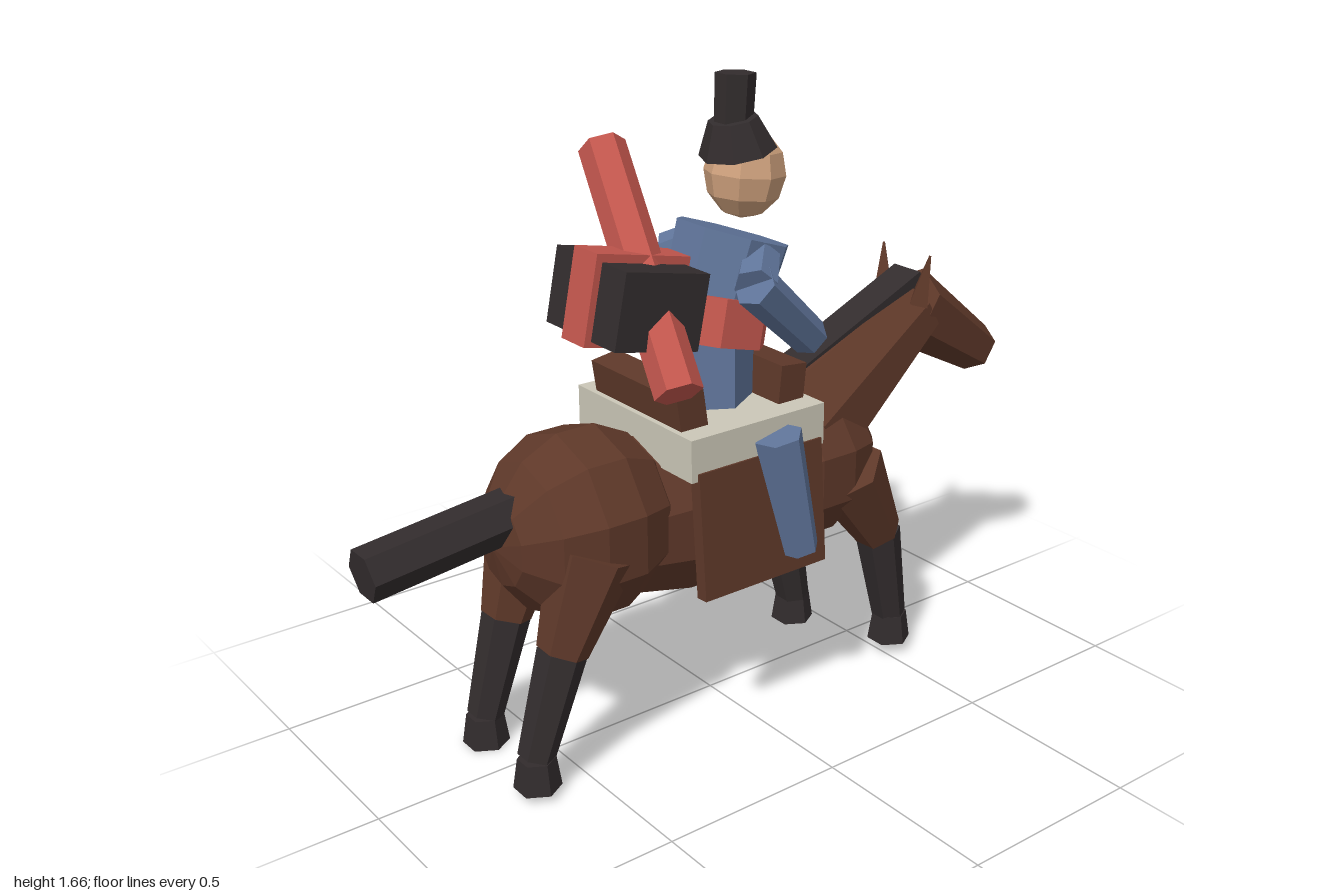
import * as THREE from 'three';

const mat = (name, color) => {
  const m = new THREE.MeshStandardMaterial({ color, flatShading: true });
  m.name = name;
  return m;
};

export function createModel() {
  const brown = mat('chestnut brown', 0x5e3829);
  const black = mat('soft black', 0x322c2d);
  const blue = mat('robe blue', 0x5f7499);
  const red = mat('sash red', 0xc2564d);
  const cream = mat('saddle cream', 0xcbc7b7);
  const skin = mat('skin', 0xcda07c);

  const root = new THREE.Group();
  root.name = 'horseAndRider';
  const horse = new THREE.Group();
  horse.name = 'horse';
  const tack = new THREE.Group();
  tack.name = 'tack';
  const rider = new THREE.Group();
  rider.name = 'rider';
  root.add(horse, tack, rider);

  const add = (parent, name, geo, material, pos = [0, 0, 0], rot = [0, 0, 0]) => {
    const m = new THREE.Mesh(geo, material);
    m.name = name;
    m.position.set(...pos);
    m.rotation.set(...rot);
    parent.add(m);
    return m;
  };
  // Tapered prism running from point a to point b
  const limb = (parent, name, a, b, ra, rb, sides, material, twist = 0) => {
    const A = new THREE.Vector3(...a), B = new THREE.Vector3(...b);
    const dir = B.clone().sub(A);
    const geo = new THREE.CylinderGeometry(rb, ra, dir.length(), sides);
    geo.rotateY(twist);
    const m = add(parent, name, geo, material, A.clone().add(B).multiplyScalar(0.5).toArray());
    m.quaternion.setFromUnitVectors(new THREE.Vector3(0, 1, 0), dir.normalize());
    return m;
  };
  // Faceted ellipsoid with its poles along x
  const blob = (name, pos, r) => {
    const geo = new THREE.SphereGeometry(1, 10, 7);
    geo.rotateZ(-Math.PI / 2);
    geo.scale(...r);
    add(horse, name, geo, brown, pos);
  };
  const box = (parent, name, size, material, pos, rot) =>
    add(parent, name, new THREE.BoxGeometry(...size), material, pos, rot);

  // Horse body
  blob('rump', [-0.41, 0.615], [0.245, 0.25, 0.235]);
  blob('barrel', [-0.04, 0.585], [0.52, 0.235, 0.215]);
  blob('chest', [0.26, 0.615], [0.245, 0.225, 0.23]);

  // Neck, head, mane and tail
  limb(horse, 'neck', [0.28, 0.695, 0], [0.7, 0.95, 0], 0.18, 0.1, 8, brown, Math.PI / 8);
  limb(horse, 'head', [0.685, 0.955, 0], [0.967, 0.77, 0], 0.11, 0.07, 6, brown, Math.PI / 6);
  box(horse, 'mane', [0.5, 0.07, 0.1], black, [0.467, 0.927, 0], [0, 0, 0.42]);
  limb(horse, 'tail', [-0.58, 0.69, 0], [-0.99, 0.643, 0], 0.066, 0.066, 6, black);
  for (const s of [1, -1]) {
    limb(horse, 'ear', [0.66, 0.98, s * 0.07], [0.676, 1.115, s * 0.09], 0.035, 0.004, 4, brown);
  }

  // Legs: hip, knee, ankle and hoof bottom
  const legs = [
    ['hindLeg', 1, [-0.46, 0.6], [-0.555, 0.36], [-0.64, 0.1], 0.02],
    ['hindLeg', -1, [-0.46, 0.6], [-0.545, 0.34], [-0.62, 0.08], 0],
    ['frontLeg', 1, [0.34, 0.6], [0.475, 0.38], [0.53, 0.11], 0.035],
    ['frontLeg', -1, [0.3, 0.58], [0.35, 0.36], [0.41, 0.09], 0.02],
  ];
  for (const [name, s, hip, knee, ankle, base] of legs) {
    const leg = new THREE.Group();
    leg.name = name;
    horse.add(leg);
    const z = s * 0.138;
    limb(leg, 'upperLeg', [...hip, s * 0.14], [...knee, z], 0.11, 0.065, 6, brown);
    limb(leg, 'lowerLeg', [...knee, z], [...ankle, z], 0.063, 0.047, 6, black);
    const hoof = new THREE.CylinderGeometry(0.048, 0.06, 0.08, 6);
    add(leg, 'hoof', hoof, black, [ankle[0], base + 0.04, s * 0.14]);
  }

  // Saddle and flaps
  box(tack, 'saddle', [0.415, 0.11, 0.48], cream, [-0.033, 0.805, 0]);
  box(tack, 'cantle', [0.08, 0.12, 0.36], brown, [-0.19, 0.89, 0], [0, 0, 0.15]);
  box(tack, 'pommel', [0.08, 0.12, 0.36], brown, [0.12, 0.895, 0], [0, 0, -0.1]);
  for (const s of [1, -1]) {
    box(tack, 'saddleFlap', [0.385, 0.33, 0.035], brown, [-0.03, 0.605, s * 0.242], [-s * 0.08, 0, 0]);
  }

  // Rider's legs and arms
  for (const s of [1, -1]) {
    limb(rider, 'leg', [0.008, 0.82, s * 0.262], [0.075, 0.5, s * 0.272], 0.062, 0.05, 6, blue, Math.PI / 6);
    limb(rider, 'upperArm', [0.07, 1.225, s * 0.11], [0.0, 1.18, s * 0.18], 0.05, 0.055, 6, blue);
    limb(rider, 'forearm', [-0.005, 1.185, s * 0.18], [0.215, 0.995, s * 0.135], 0.057, 0.05, 6, blue);
  }

  // Robe, sash and chest
  limb(rider, 'skirt', [-0.03, 0.8, 0], [-0.015, 1.08, 0], 0.14, 0.12, 6, blue);
  limb(rider, 'sash', [-0.025, 1.005, 0], [0.005, 1.12, -0.01], 0.163, 0.163, 8, red, Math.PI / 8);
  limb(rider, 'torso', [0.0, 1.05, 0], [0.073, 1.265, 0], 0.135, 0.15, 8, blue, Math.PI / 8);

  // Pack with a strap and a bedroll across the back
  const pack = new THREE.Group();
  pack.name = 'pack';
  pack.position.set(-0.25, 1.155, 0);
  pack.rotation.z = -0.2;
  rider.add(pack);
  box(pack, 'packBox', [0.245, 0.19, 0.29], black, [0, 0, 0]);
  box(pack, 'packStrap', [0.275, 0.225, 0.095], red, [-0.003, 0.003, 0]);
  limb(rider, 'bedroll', [-0.265, 0.98, 0.225], [-0.165, 1.475, -0.22], 0.06, 0.06, 6, red);

  // Head, hair and topknot
  const face = new THREE.SphereGeometry(1, 8, 6);
  face.scale(0.104, 0.114, 0.102);
  add(rider, 'face', face, skin, [0.108, 1.41, 0], [0, 0, -0.1]);
  const hair = new THREE.CylinderGeometry(0.062, 0.098, 0.085, 8);
  add(rider, 'hair', hair, black, [0.078, 1.507, 0], [0, 0, 0.18]);
  const knot = new THREE.CylinderGeometry(0.053, 0.05, 0.13, 6);
  knot.scale(1, 1, 0.88);
  add(rider, 'topknot', knot, black, [0.075, 1.593, 0], [0, 0, -0.05]);

  return root;
}
